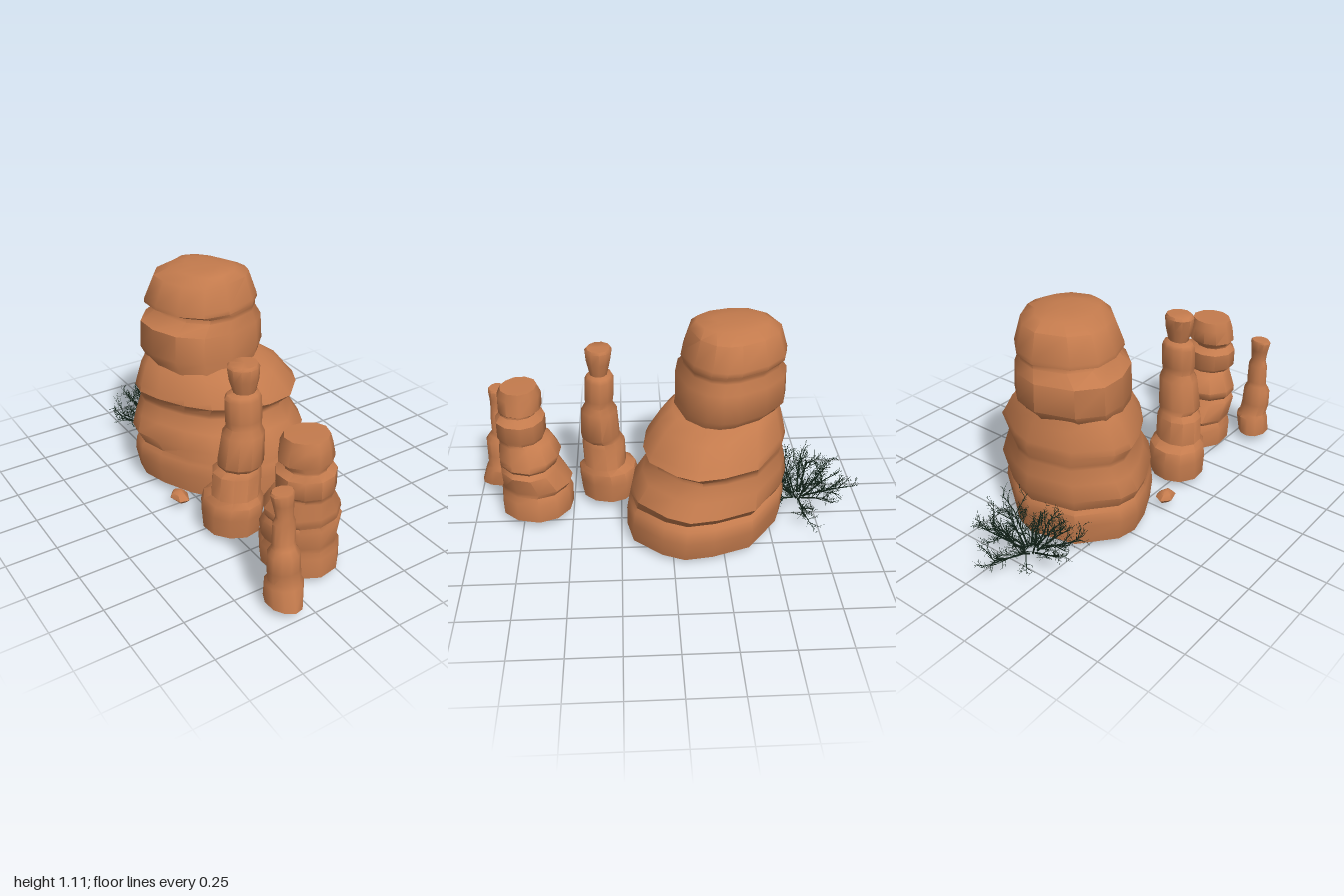
import * as THREE from 'three';
import { mergeGeometries, toCreasedNormals } from 'three/addons/utils/BufferGeometryUtils.js';

const rockMat = new THREE.MeshStandardMaterial({ color: 0xc47b4d, side: THREE.DoubleSide });
const bushMat = new THREE.MeshStandardMaterial({ color: 0x16281d, side: THREE.DoubleSide });

// Footprints as [x, z] corners, running from +x towards +z; each is refitted to every layer
const baseOutline = [[.43, -.06], [.38, .05], [.25, .19], [.1, .22], [-.05, .2], [-.2, .12], [-.3, 0],
  [-.38, -.15], [-.42, -.28], [-.4, -.38], [-.25, -.54], [0, -.59], [.12, -.55], [.34, -.39], [.41, -.2]];
const headOutline = [[.27, -.24], [.25, -.17], [.17, -.09], [0, -.04], [-.13, -.06], [-.23, -.15],
  [-.28, -.28], [-.28, -.4], [-.2, -.5], [-.03, -.56], [.09, -.53], [.19, -.44], [.26, -.31]];
const pillarOutline = [[1, -.1], [.85, .5], [.45, .9], [-.1, 1], [-.6, .75], [-.95, .3],
  [-1, -.3], [-.7, -.8], [-.2, -1], [.35, -.92], [.8, -.6]];

// Stacks layers [y, xMin, xMax, zMin, zMax] of one footprint, open below and capped on top
function rock(name, outline, layers, tilt = 0) {
  const box = new THREE.Box2().setFromPoints(outline.map(p => new THREE.Vector2(...p)));
  const size = box.getSize(new THREE.Vector2());
  const unit = outline.map(([x, z]) => [(x - box.min.x) / size.x, (z - box.min.y) / size.y]);
  const n = unit.length, pos = [], index = [];
  for (const [y, x0, x1, z0, z1] of layers) {
    for (const [u, v] of unit) {
      const x = x0 + u * (x1 - x0);
      pos.push(x, y - tilt * x, z0 + v * (z1 - z0));
    }
  }
  for (let i = 0; i < layers.length - 1; i++) {
    for (let j = 0; j < n; j++) {
      const a = i * n + j, b = i * n + (j + 1) % n;
      index.push(a, a + n, b, a + n, b + n, b);
    }
  }
  const [y, x0, x1, z0, z1] = layers.at(-1), last = (layers.length - 1) * n;
  const cx = (x0 + x1) / 2;
  pos.push(cx, y - tilt * cx + 0.002, (z0 + z1) / 2);
  for (let j = 0; j < n; j++) index.push(last + n, last + (j + 1) % n, last + j);
  const geo = new THREE.BufferGeometry();
  geo.setAttribute('position', new THREE.Float32BufferAttribute(pos, 3));
  geo.setIndex(index);
  const mesh = new THREE.Mesh(toCreasedNormals(geo, 0.85), rockMat);
  mesh.name = name;
  return mesh;
}

// Dry shrub: stems that fork into ever finer twigs
function bush() {
  let seed = 7;
  const rnd = () => (seed = (seed * 16807) % 2147483647) / 2147483647;
  const up = new THREE.Vector3(0, 1, 0), parts = [];
  const forks = [6, 6, 4, 0];
  function branch(start, dir, len, radius, depth) {
    const geo = new THREE.CylinderGeometry(radius * 0.4, radius, len, 3, 1, true).translate(0, len / 2, 0);
    geo.applyQuaternion(new THREE.Quaternion().setFromUnitVectors(up, dir));
    parts.push(geo.translate(start.x, start.y, start.z));
    for (let i = 0; i < forks[depth]; i++) {
      const t = 0.25 + 0.75 * (i + rnd()) / forks[depth];
      const side = new THREE.Vector3(rnd() - 0.5, rnd() - 0.35, rnd() - 0.5).normalize();
      const next = dir.clone().addScaledVector(side, 0.9).normalize();
      const from = start.clone().addScaledVector(dir, len * t);
      if (from.y < 0.04) next.y = Math.abs(next.y);
      branch(from, next, len * (0.38 + 0.2 * rnd()), radius * 0.5, depth + 1);
    }
  }
  const stems = 15;
  for (let i = 0; i < stems; i++) {
    const a = i * 2.4, lift = 0.12 + 1.15 * (i / stems);
    const dir = new THREE.Vector3(Math.cos(a) * Math.cos(lift), Math.sin(lift), Math.sin(a) * Math.cos(lift));
    branch(new THREE.Vector3(-0.1 + 0.03 * Math.cos(a), 0.025, -0.68 + 0.03 * Math.sin(a)), dir,
      0.21 - 0.05 * (i / stems), 0.006, 0);
  }
  const mesh = new THREE.Mesh(mergeGeometries(parts), bushMat);
  mesh.name = 'dryBush';
  return mesh;
}

export function createModel() {
  const group = new THREE.Group();
  group.name = 'desertRocks';

  // Large butte: broad layered foot, then the two upper blocks
  group.add(rock('butteBase', baseOutline, [
    [.015, -.385, .39, -.57, .22], [.12, -.405, .415, -.58, .22], [.18, -.395, .4, -.58, .21],
    [.2, -.38, .375, -.565, .2], [.26, -.41, .43, -.585, .195], [.34, -.38, .39, -.575, .14],
    [.41, -.35, .355, -.56, .09], [.43, -.35, .355, -.56, .09], [.48, -.38, .41, -.57, .135],
    [.51, -.37, .385, -.565, .12], [.6, -.335, .32, -.545, .055], [.645, -.3, .24, -.53, -.01]], 0.03));
  group.add(rock('butteHead', headOutline, [
    [.62, -.29, .23, -.52, -.02], [.645, -.3, .24, -.535, -.02], [.685, -.315, .27, -.568, -.025],
    [.82, -.308, .262, -.565, -.025], [.87, -.23, .235, -.53, -.06], [.89, -.225, .235, -.53, -.06],
    [.91, -.28, .25, -.56, -.05], [.93, -.28, .248, -.56, -.055], [1.045, -.23, .21, -.525, -.09],
    [1.08, -.15, .13, -.47, -.12], [1.088, -.07, .05, -.42, -.2]]));

  // Three free-standing pillars
  group.add(rock('tallPillar', pillarOutline, [
    [.02, -.365, -.09, .17, .455], [.12, -.37, -.08, .155, .465], [.18, -.36, -.085, .17, .465],
    [.205, -.335, -.1, .22, .44], [.33, -.33, -.1, .225, .445], [.355, -.3, -.11, .245, .43],
    [.38, -.315, -.095, .25, .45], [.53, -.29, -.09, .26, .44], [.565, -.27, -.105, .28, .42],
    [.6, -.275, -.1, .275, .42], [.705, -.275, -.1, .27, .415], [.725, -.265, -.11, .28, .405],
    [.735, -.235, -.13, .3, .39], [.8, -.255, -.115, .285, .405], [.86, -.262, -.112, .275, .41],
    [.873, -.25, -.12, .285, .4]]));
  group.add(rock('widePillar', pillarOutline, [
    [.02, -.28, .072, .5, .868], [.12, -.285, .072, .5, .865], [.15, -.27, .052, .52, .855],
    [.175, -.28, .058, .5, .86], [.265, -.29, .07, .56, .862], [.285, -.275, .045, .575, .855],
    [.305, -.29, .062, .56, .865], [.335, -.29, .055, .55, .865], [.41, -.25, .008, .59, .855],
    [.425, -.24, -.002, .63, .855], [.445, -.262, .008, .62, .868], [.53, -.262, .008, .62, .868],
    [.555, -.23, -.045, .66, .845], [.565, -.23, -.045, .655, .845], [.59, -.255, 0, .632, .85],
    [.66, -.243, -.018, .632, .848], [.7, -.23, -.028, .65, .83]]));
  group.add(rock('smallPillar', pillarOutline, [
    [.025, -.422, -.27, .8, 1], [.12, -.42, -.25, .805, .97], [.14, -.41, -.262, .82, .96],
    [.2, -.42, -.27, .83, .96], [.28, -.418, -.275, .83, .96], [.31, -.4, -.292, .845, .94],
    [.33, -.4, -.29, .85, .925], [.43, -.397, -.292, .85, .925], [.46, -.385, -.305, .86, .92],
    [.52, -.395, -.302, .85, .92], [.57, -.407, -.298, .84, .925], [.58, -.4, -.305, .845, .92]]));

  // Loose stone beside the butte
  group.add(rock('looseStone', pillarOutline.filter((_, i) => i % 2 === 0), [
    [.02, -.375, -.33, -.005, .06], [.045, -.4, -.31, -.03, .085], [.07, -.39, -.33, -.01, .06],
    [.08, -.37, -.345, .01, .04]]));

  group.add(bush());
  return group;
}
